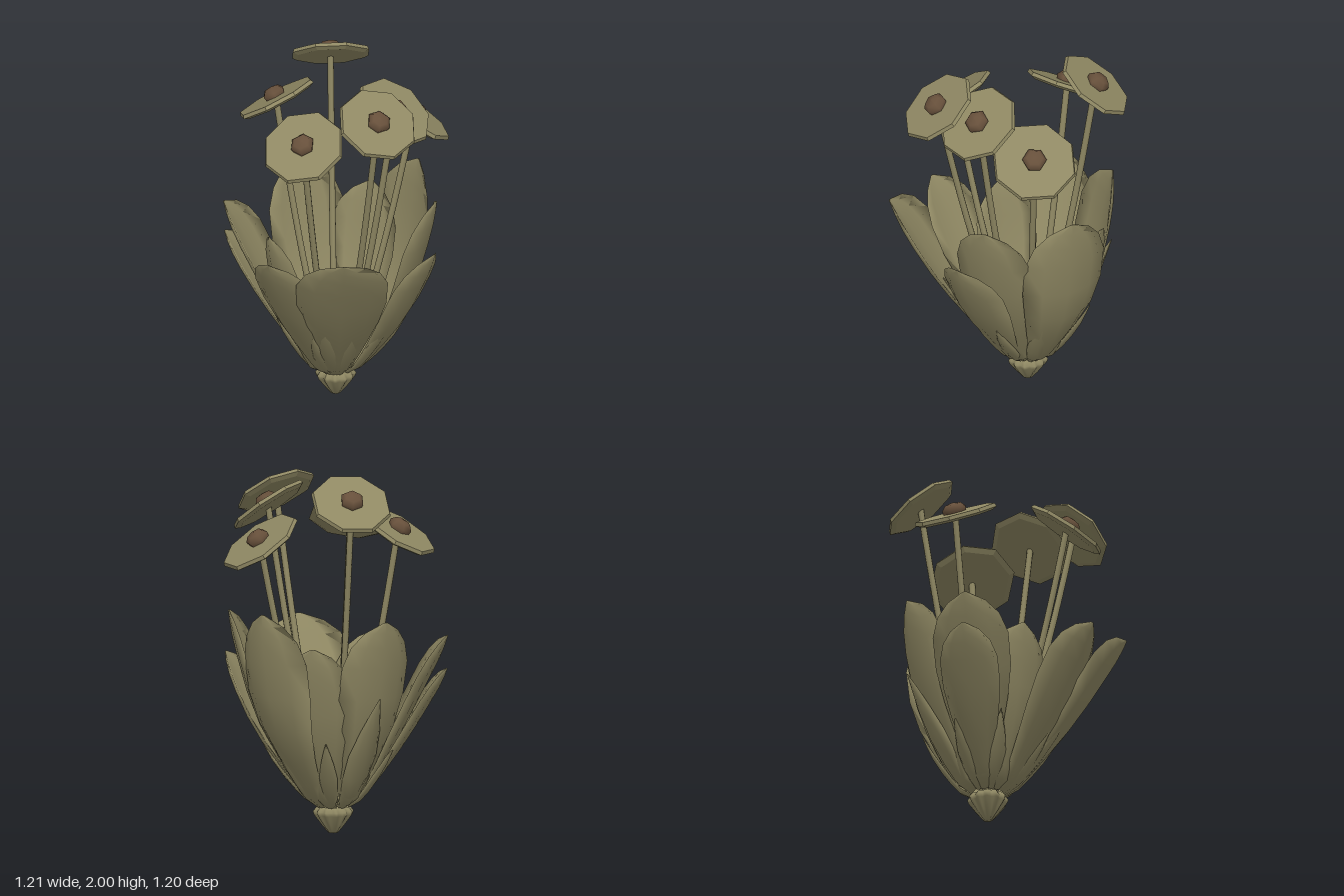
import * as THREE from 'three';

const V = (x, y, z) => new THREE.Vector3(x, y, z);
const V2 = (x, y) => new THREE.Vector2(x, y);
const olive = new THREE.MeshStandardMaterial({ color: 0x8f8863 });
olive.name = 'olive';
const brown = new THREE.MeshStandardMaterial({ color: 0x67503b });
brown.name = 'brown';
const CX = -0.02, CZ = -0.08; // axis of the flower

// half-width along a leaf, as [position, fraction of full half-width]
const BROAD = [[0, 0.16], [0.08, 0.3], [0.16, 0.42], [0.3, 0.62], [0.46, 0.84], [0.62, 0.99], [0.78, 1], [0.88, 0.82], [0.95, 0.5], [1, 0.05]];
const NARROW = [[0, 0.4], [0.15, 0.65], [0.3, 0.9], [0.5, 1], [0.72, 0.7], [0.88, 0.34], [1, 0.03]];

// Cupped, lens-section leaf that flares from the base and arches to its tip
function leafGeometry(tip, halfWidth, bulge, thick, outline) {
  const out = V(tip.x - CX, 0, tip.z - CZ);
  const reach = out.length();
  out.normalize();
  const side = V(out.z, 0, -out.x);
  const curve = new THREE.SplineCurve([
    V2(0.09, 0.155), V2(0.16, 0.205),
    V2(0.16 + (reach - 0.16) * (0.5 + bulge), 0.205 + (tip.y - 0.205) * (0.5 - bulge * 0.3)),
    V2(reach, tip.y)]);
  const section = [-1, -0.6, 0, 0.6, 1, 0.6, 0, -0.6];
  const n = section.length, pos = [], idx = [];
  outline.forEach(([t, w], i) => {
    const p = curve.getPointAt(t), d = curve.getTangentAt(t);
    const hw = halfWidth * w;
    section.forEach((u, j) => {
      const shell = (j < 5 ? 0.5 : -0.5) * thick * (1 - u * u) * Math.min(1, w + 0.2);
      const off = shell - u * u * hw * 0.28;
      const r = p.x + d.y * off, y = p.y - d.x * off;
      pos.push(CX + out.x * r + side.x * u * hw, y, CZ + out.z * r + side.z * u * hw);
      if (i) {
        const k = (j + 1) % n, a = (i - 1) * n + j, b = (i - 1) * n + k, c = i * n + j, e = i * n + k;
        idx.push(a, b, c, b, e, c);
      }
    });
  });
  // close both ends
  const last = (outline.length - 1) * n;
  for (let j = 1; j < n - 1; j++) idx.push(0, j + 1, j, last, last + j, last + j + 1);
  const g = new THREE.BufferGeometry();
  g.setAttribute('position', new THREE.Float32BufferAttribute(pos, 3));
  g.setIndex(idx);
  g.computeVertexNormals();
  return g;
}

function add(parent, name, geometry, material) {
  const m = new THREE.Mesh(geometry, material);
  m.name = name;
  parent.add(m);
  return m;
}

// Flat-sided slice of an eight-sided disc
function slice(top, bottom, height) {
  const g = new THREE.CylinderGeometry(top, bottom, height, 8).toNonIndexed();
  g.computeVertexNormals();
  return g;
}

// Stamen: bent stalk, tilted eight-sided disc and a brown centre
function makeStamen(c, tilt, spin, radius) {
  const g = new THREE.Group();
  g.name = 'stamen';
  const base = V(CX, 0.13, CZ);
  const bend = V(base.x + (c.x - base.x) * 0.4, base.y + (c.y - base.y) * 0.12, base.z + (c.z - base.z) * 0.4);
  add(g, 'stalk', new THREE.TubeGeometry(new THREE.QuadraticBezierCurve3(base, bend, c), 12, 0.018, 7), olive);
  const head = new THREE.Group();
  head.name = 'stamenHead';
  head.position.copy(c);
  const normal = V(c.x - CX, 0, c.z - CZ).normalize().multiplyScalar(Math.sin(tilt));
  normal.y = Math.cos(tilt);
  head.quaternion.setFromUnitVectors(V(0, 1, 0), normal);
  add(head, 'disc', slice(radius - 0.008, radius, 0.02), olive).rotation.y = spin;
  const under = add(head, 'discUnderside', slice(radius, radius - 0.03, 0.014), olive);
  under.position.y = -0.017;
  under.rotation.y = spin;
  const dome = new THREE.LatheGeometry([V2(0.062, 0), V2(0.067, 0.025), V2(0.045, 0.05), V2(0, 0.058)], 6);
  const button = add(head, 'centre', dome, brown);
  button.position.y = 0.008;
  button.rotation.y = spin + 0.3;
  g.add(head);
  return g;
}

export function createModel() {
  const model = new THREE.Group();
  model.name = 'flower';

  // Broad petals: tip x, y, z, half-width, bulge
  const petals = new THREE.Group();
  petals.name = 'petals';
  [
    [-0.02, 1.02, 0.595, 0.19, 0.04],
    [0.42, 1.095, 0.53, 0.25, 0.04],
    [0.6, 0.97, -0.1, 0.2, 0.08],
    [0.53, 1.22, -0.23, 0.22, 0.13],
    [0.2, 1.26, -0.575, 0.24, 0.23],
    [-0.43, 1.22, -0.34, 0.22, 0.15],
    [-0.6, 1.09, 0.14, 0.21, 0.01],
    [-0.6, 0.91, 0.13, 0.16, 0.03],
    [-0.22, 1.02, 0.28, 0.17, 0.13],
    [-0.08, 1.08, -0.54, 0.19, 0.13],
  ].forEach(([x, y, z, w, bulge]) =>
    add(petals, 'petal', leafGeometry(V(x, y, z), w, bulge, 0.035, BROAD), olive));
  model.add(petals);

  // Narrow pointed sepals hugging the outside: bearing, tip height, tip radius, half-width
  const sepals = new THREE.Group();
  sepals.name = 'sepals';
  [[10, 0.68, 0.47, 0.06], [44, 0.66, 0.46, 0.06], [66, 0.62, 0.45, 0.06], [78, 0.5, 0.37, 0.05],
    [135, 0.52, 0.34, 0.05], [178, 0.52, 0.36, 0.05], [216, 0.8, 0.47, 0.09], [255, 0.55, 0.37, 0.05],
    [308, 0.66, 0.43, 0.06], [346, 0.52, 0.4, 0.05]].forEach(([deg, y, r, w]) => {
    const a = deg * Math.PI / 180;
    const tip = V(CX + Math.cos(a) * r, y, CZ + Math.sin(a) * r);
    add(sepals, 'sepal', leafGeometry(tip, w, 0.06, 0.025, NARROW), olive);
  });
  model.add(sepals);

  // Six stamens: disc centre, tilt, turn, disc radius
  const stamens = new THREE.Group();
  stamens.name = 'stamens';
  [
    [-0.24, 1.868, -0.375, 0.64, 0.2, 0.224],
    [-0.387, 1.685, -0.055, 0.55, 0.35, 0.232],
    [0.06, 1.665, 0.375, 0.63, 0.1, 0.23],
    [0.42, 1.82, 0.19, 0.65, 0.3, 0.224],
    [0.37, 1.785, -0.055, 0.64, 0.2, 0.228],
    [0.29, 1.63, -0.38, 0.62, 0.4, 0.236],
  ].forEach(([x, y, z, tilt, spin, radius]) => stamens.add(makeStamen(V(x, y, z), tilt, spin, radius)));
  model.add(stamens);

  // Fluted receptacle cone at the foot
  const profile = [[0, 0], [0.025, 0.005], [0.06, 0.05], [0.098, 0.105], [0.104, 0.125], [0.085, 0.15], [0.05, 0.15]];
  const cone = new THREE.LatheGeometry(profile.map(q => V2(...q)), 48);
  const p = cone.attributes.position;
  for (let i = 0; i < p.count; i++) {
    const x = p.getX(i), z = p.getZ(i);
    const k = 1 + 0.08 * Math.cos(Math.atan2(z, x) * 12);
    p.setXYZ(i, x * k, p.getY(i), z * k);
  }
  cone.computeVertexNormals();
  add(model, 'receptacle', cone, olive).position.set(CX, 0, CZ);

  return model;
}
